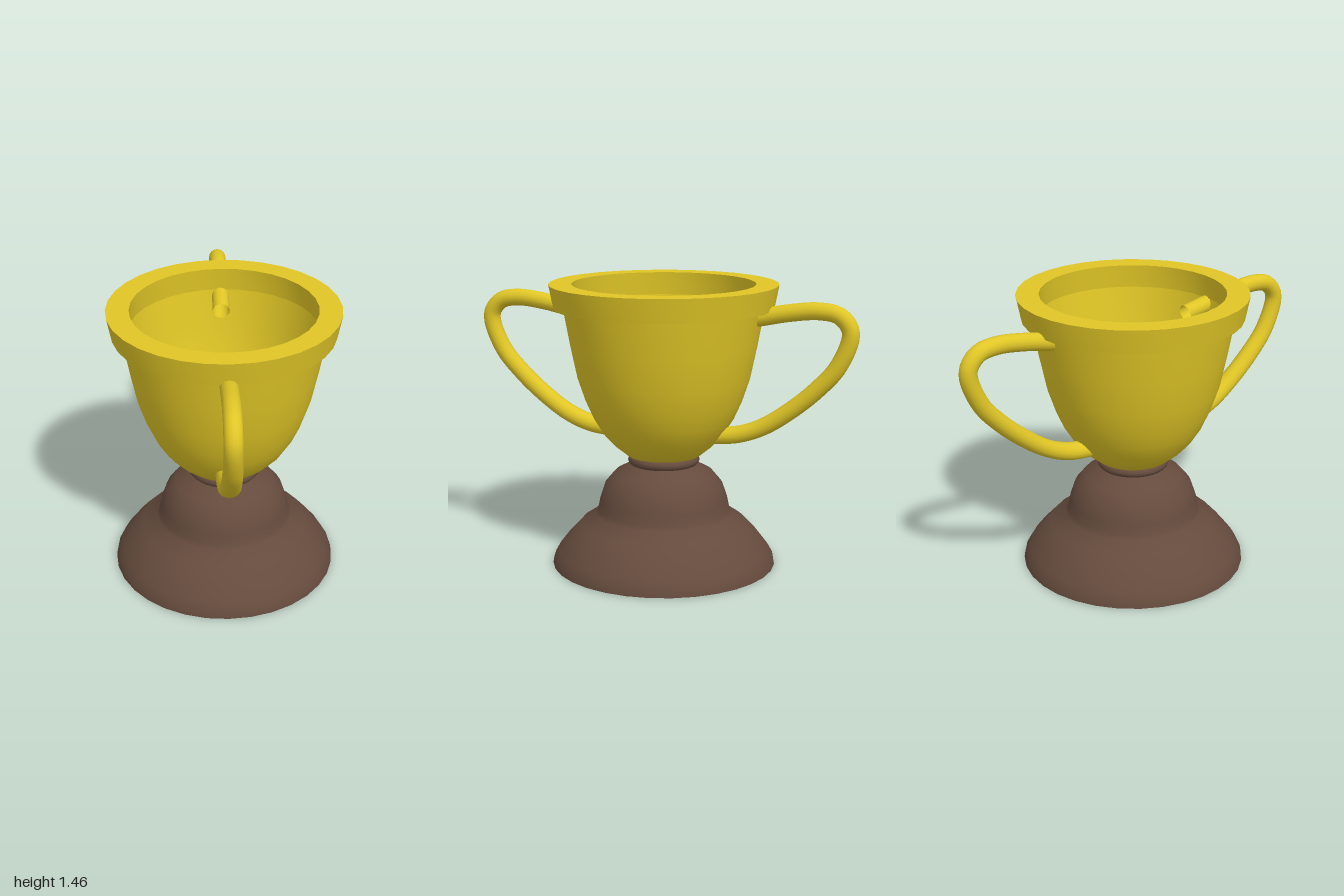
import * as THREE from 'three';
import { toCreasedNormals } from 'three/addons/utils/BufferGeometryUtils.js';

const gold = new THREE.MeshStandardMaterial({ color: 0xe0c626, side: THREE.DoubleSide });
const brown = new THREE.MeshStandardMaterial({ color: 0x654b3d, side: THREE.DoubleSide });

// Turned part from [radius, height] pairs, with sharp edges kept
function turned(name, profile, material) {
  const lathe = new THREE.LatheGeometry(profile.map(([r, y]) => new THREE.Vector2(r, y)), 32);
  const mesh = new THREE.Mesh(toCreasedNormals(lathe, 0.7), material);
  mesh.name = name;
  return mesh;
}

// Looped handle; the tube broadens sideways towards its lower end
function handle(name, side) {
  const path = new THREE.CatmullRomCurve3([
    [0.34, 1.28], [0.5, 1.31], [0.65, 1.34], [0.8, 1.355], [0.9, 1.335], [0.955, 1.26],
    [0.9, 1.09], [0.79, 0.96], [0.65, 0.84], [0.52, 0.755], [0.4, 0.71], [0.28, 0.695], [0.16, 0.69],
  ].map(([z, y]) => new THREE.Vector3(0, y, z * side)));
  const tube = new THREE.TubeGeometry(path, 64, 0.044, 16, false);
  const pos = tube.attributes.position;
  for (let i = 0; i < pos.count; i++) {
    const drop = THREE.MathUtils.clamp((1.2 - pos.getY(i)) / 0.5, 0, 1);
    pos.setX(i, pos.getX(i) * (1 + 0.28 * drop));
  }
  const mesh = new THREE.Mesh(tube, gold);
  mesh.name = name;
  return mesh;
}

export function createModel() {
  const trophy = new THREE.Group();
  trophy.name = 'trophyCup';

  // Hollow stepped base with a narrow lip underneath and a closed top
  trophy.add(turned('base', [
    [0.555, 0.005], [0.58, 0], [0.575, 0.03], [0.55, 0.075], [0.5, 0.14], [0.43, 0.215], [0.355, 0.265],
    [0.342, 0.29], [0.332, 0.34], [0.305, 0.42], [0.255, 0.48], [0.19, 0.515], [0.168, 0.53],
    [0.168, 0.577], [0, 0.577],
  ], brown));

  // Collar between base and bowl
  const collar = new THREE.Mesh(new THREE.TorusGeometry(0.16, 0.025, 12, 32).rotateX(Math.PI / 2), brown);
  collar.name = 'collar';
  collar.position.y = 0.55;
  trophy.add(collar);

  // Bowl: outer wall up, inner wall down to the open bottom
  trophy.add(turned('bowl', [
    [0.168, 0.572], [0.19, 0.577], [0.255, 0.63], [0.31, 0.69], [0.36, 0.77], [0.4, 0.86], [0.44, 0.98],
    [0.475, 1.15], [0.51, 1.345], [0.48, 1.345], [0.445, 1.15], [0.41, 0.98], [0.37, 0.86],
    [0.33, 0.77], [0.28, 0.69], [0.225, 0.63], [0.165, 0.58],
  ], gold));

  // Flared rim ring
  trophy.add(turned('rim', [
    [0.475, 1.34], [0.557, 1.34], [0.58, 1.46], [0.465, 1.46], [0.475, 1.34],
  ], gold));

  trophy.add(handle('frontHandle', 1), handle('backHandle', -1));
  return trophy;
}
